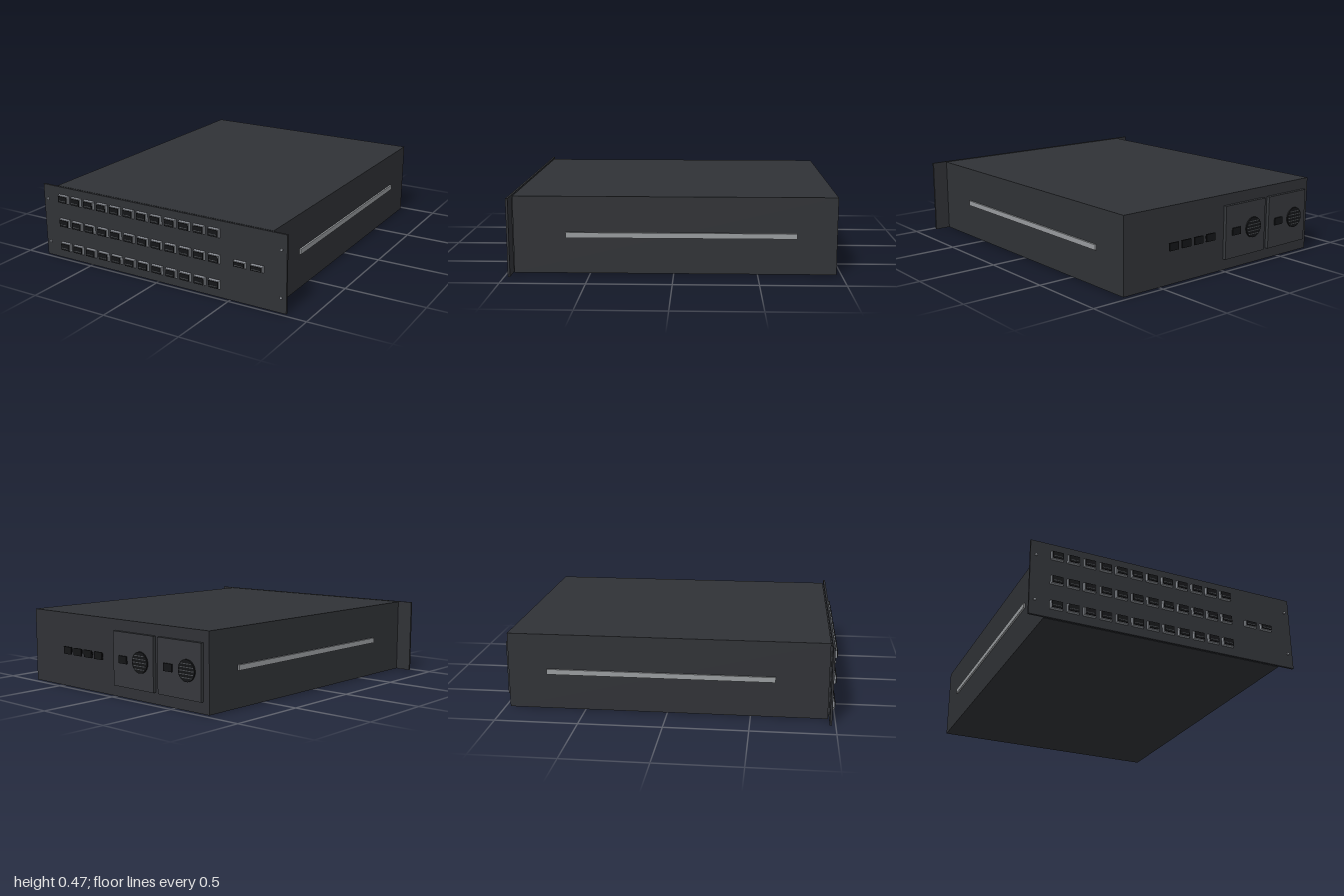
import * as THREE from 'three';

const mat = (color) => new THREE.MeshStandardMaterial({ color });
const M = {
  shell: mat(0x303236),
  panel: mat(0x36383c),
  rim: mat(0x8c9096),
  rail: mat(0x999c9f),
  dark: mat(0x141517),
  slat: mat(0x4a4d51),
};

function add(parent, name, geometry, material, x = 0, y = 0, z = 0) {
  const mesh = new THREE.Mesh(geometry, material);
  mesh.name = name;
  mesh.position.set(x, y, z);
  parent.add(mesh);
  return mesh;
}

// Box given by its near and far z
function slab(parent, name, material, x, y, w, h, z0, z1) {
  return add(parent, name, new THREE.BoxGeometry(w, h, z1 - z0), material, x, y, (z0 + z1) / 2);
}

// Box whose front face is drawn in on all sides
function taperedBox(w, h, d, inset) {
  const g = new THREE.BoxGeometry(w, h, d);
  const p = g.attributes.position;
  for (let i = 0; i < p.count; i++) {
    if (p.getZ(i) > 0) {
      p.setX(i, p.getX(i) - Math.sign(p.getX(i)) * inset);
      p.setY(i, p.getY(i) - Math.sign(p.getY(i)) * inset);
    }
  }
  g.computeVertexNormals();
  return g;
}

export function createModel() {
  const model = new THREE.Group();
  const H = 0.471, MID = 0.236;

  // Chassis and wider front plate
  slab(model, 'chassis', M.shell, 0, H / 2, 1.534, H - 0.004, -0.969, 0.957);
  slab(model, 'plateSpacer', M.shell, 0, H / 2, 1.5, H - 0.04, 0.957, 0.966);
  slab(model, 'frontPlate', M.shell, 0, H / 2, 1.726, H, 0.965, 0.978);

  // Side rails and plate screws
  for (const s of [-1, 1]) {
    slab(model, 'sideRail', M.rail, s * 0.771, MID, 0.014, 0.032, -0.732, 0.644);
    for (const y of [0.093, 0.379]) {
      const screw = add(model, 'plateScrew', new THREE.CylinderGeometry(0.008, 0.008, 0.008, 16), M.rim, s * 0.83, y, 0.981);
      screw.rotation.x = Math.PI / 2;
    }
  }

  // Front ports: metal rim, dark mouth, contact tongue
  const port = (name, x, y, w, h) => {
    const g = new THREE.Group();
    g.name = name;
    g.position.set(x, y, 0);
    add(g, 'portRim', taperedBox(w, h, 0.016, 0.003), M.rim, 0, 0, 0.986);
    slab(g, 'portMouth', M.dark, 0, 0, w - 0.014, h - 0.013, 0.98, 0.999);
    slab(g, 'portTongue', M.slat, 0, -h * 0.14, w - 0.026, 0.004, 0.99, 1.0);
    model.add(g);
  };
  for (const y of [0.08, 0.238, 0.396]) {
    for (let i = 0; i < 12; i++) port('networkPort', -0.702 + i * 0.1, y, 0.077, 0.054);
  }
  for (const x of [0.568, 0.678]) port('uplinkPort', x, 0.238, 0.082, 0.04);

  // Rear power supplies with fan, grille slats and inlet
  for (const x of [-0.555, -0.179]) {
    const psu = new THREE.Group();
    psu.name = 'powerSupply';
    psu.position.set(x, MID, 0);
    slab(psu, 'supplyPanel', M.panel, 0, 0, 0.34, 0.33, -0.99, -0.965);
    const fan = add(psu, 'fanOpening', new THREE.CylinderGeometry(0.064, 0.064, 0.01, 32), M.dark, -0.064, 0, -0.993);
    fan.rotation.x = Math.PI / 2;
    for (let i = -2; i <= 2; i++) {
      const y = i * 0.02;
      const w = 2 * Math.sqrt(0.058 ** 2 - y * y);
      slab(psu, 'fanSlat', M.slat, -0.064, y, w, 0.005, -1.0, -0.996);
    }
    slab(psu, 'powerInlet', M.dark, 0.083, 0, 0.068, 0.046, -0.998, -0.985);
    model.add(psu);
  }

  // Rear service ports on short necks
  for (let i = 0; i < 4; i++) {
    const x = 0.124 + i * 0.097;
    slab(model, 'rearPort', M.dark, x, MID, 0.07, 0.046, -0.999, -0.99);
    slab(model, 'rearPortNeck', M.dark, x, MID, 0.03, 0.02, -0.991, -0.965);
  }
  return model;
}
